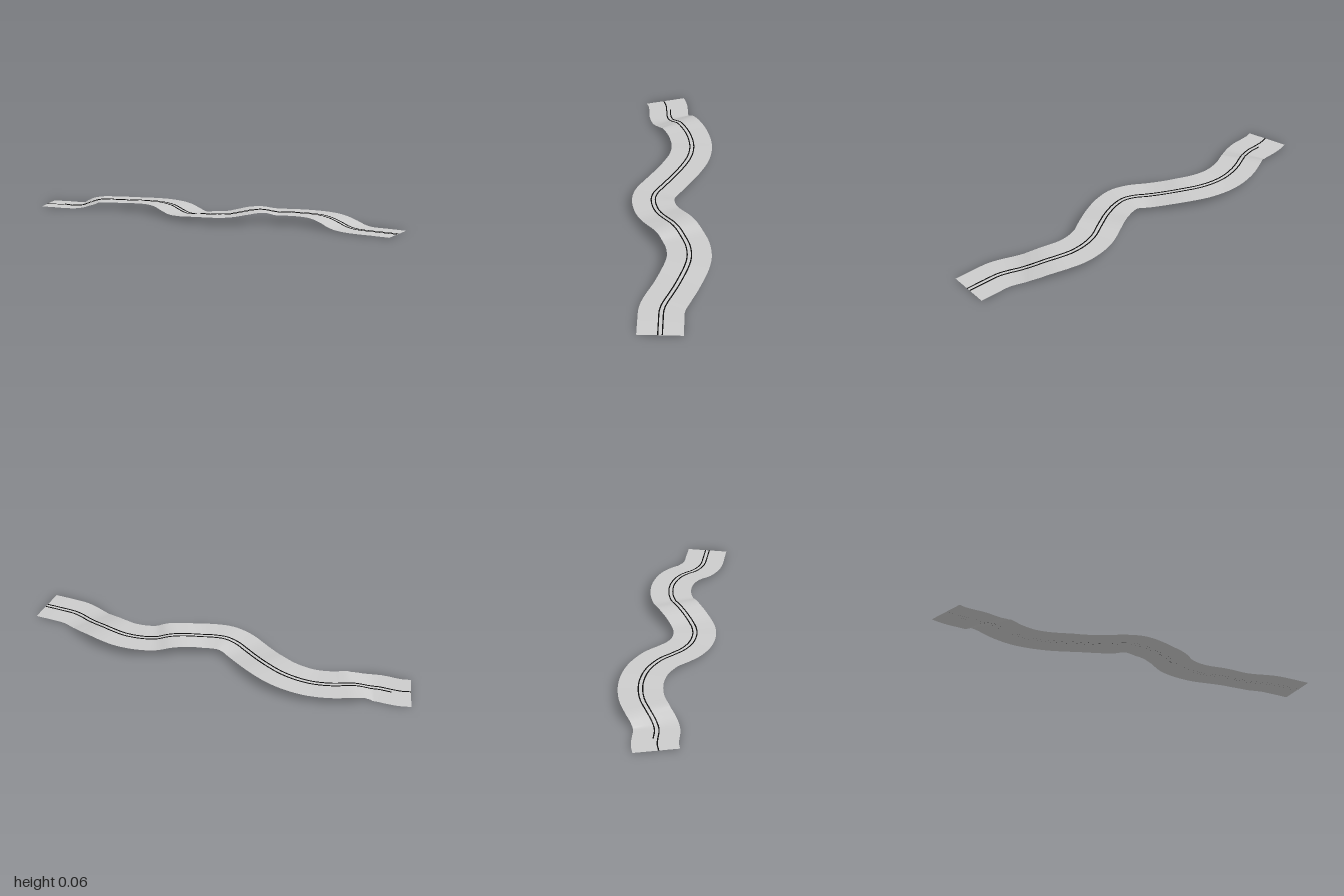
import * as THREE from 'three';

// Centre line of the track: x, height, z
const PATH = [
  [-1, 0.009, -0.377], [-0.95, 0.009, -0.373], [-0.9, 0.009, -0.359], [-0.84, 0.009, -0.339],
  [-0.795, 0.011, -0.334], [-0.75, 0.026, -0.34], [-0.7, 0.041, -0.351], [-0.6, 0.042, -0.358],
  [-0.5, 0.042, -0.345], [-0.42, 0.045, -0.318], [-0.34, 0.047, -0.27], [-0.26, 0.044, -0.19],
  [-0.2, 0.032, -0.105], [-0.155, 0.026, -0.04], [-0.11, 0.03, 0.01], [-0.05, 0.037, 0.045],
  [0.02, 0.038, 0.06], [0.08, 0.041, 0.059], [0.15, 0.053, 0.047], [0.21, 0.062, 0.033],
  [0.26, 0.062, 0.024], [0.32, 0.051, 0.018], [0.4, 0.05, 0.022], [0.49, 0.05, 0.048],
  [0.56, 0.049, 0.09], [0.61, 0.043, 0.132], [0.66, 0.029, 0.182], [0.7, 0.016, 0.228],
  [0.74, 0.011, 0.27], [0.785, 0.01, 0.304], [0.87, 0.009, 0.341], [0.953, 0.007, 0.375],
];
const curve = new THREE.CatmullRomCurve3(PATH.map(p => new THREE.Vector3(...p)));
const STEPS = 160;

// Sweep a profile of [sideways offset, height] points along the path, from step "first"
function sweep(profile, first = 0) {
  const n = profile.length, positions = [], index = [];
  for (let i = first; i <= STEPS; i++) {
    const u = i / STEPS, c = curve.getPointAt(u), t = curve.getTangentAt(u);
    const len = Math.hypot(t.x, t.z);
    for (const [o, h] of profile) {
      positions.push(c.x - (t.z / len) * o, c.y + h, c.z + (t.x / len) * o);
    }
  }
  for (let i = 0; i < STEPS - first; i++) {
    for (let j = 0; j < n - 1; j++) {
      const a = i * n + j, b = a + 1, d = a + n, e = d + 1;
      index.push(a, b, d, b, e, d);
    }
  }
  const geometry = new THREE.BufferGeometry();
  geometry.setAttribute('position', new THREE.Float32BufferAttribute(positions, 3));
  geometry.setIndex(index);
  return geometry;
}

export function createModel() {
  const group = new THREE.Group();
  group.name = 'windingTrack';

  const groundMaterial = new THREE.MeshStandardMaterial({ color: 0xcccccc, side: THREE.DoubleSide });
  groundMaterial.name = 'light grey ground';
  const railMaterial = new THREE.MeshStandardMaterial({ color: 0x0a0a0a });
  railMaterial.name = 'black rail';

  // Wide ribbon of ground
  const half = 0.113;
  const ground = sweep([-1, -0.5, 0, 0.5, 1].map(k => [k * half, 0]));
  ground.computeVertexNormals();
  const bed = new THREE.Mesh(ground, groundMaterial);
  bed.name = 'groundRibbon';
  group.add(bed);

  // Pair of thin rails; the far one starts a little way in
  for (const [name, offset, first] of [['farRail', -0.011, 7], ['nearRail', 0.011, 0]]) {
    const w = 0.003, top = 0.0015, low = -0.0003;
    const profile = [[-w, low], [-w, top], [w, top], [w, low]].map(([o, h]) => [o + offset, h]);
    const geometry = sweep(profile, first).toNonIndexed();
    geometry.computeVertexNormals();
    const rail = new THREE.Mesh(geometry, railMaterial);
    rail.name = name;
    group.add(rail);
  }
  return group;
}
